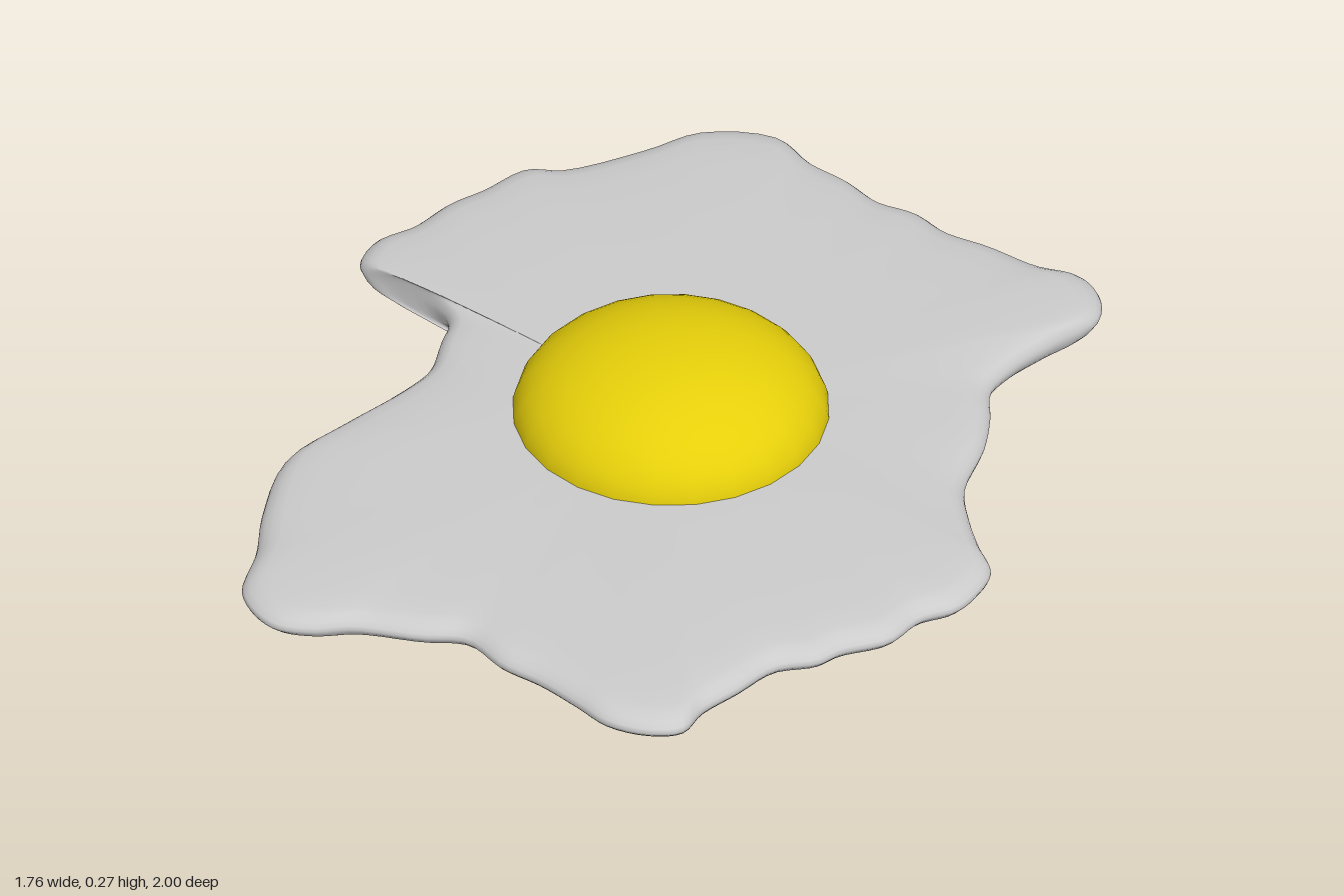
import * as THREE from 'three';

const CENTRE = { x: 0, z: -0.065 };

// Wavy outline of the egg white, as x, z pairs
const OUTLINE = [
  -0.40, -1.0, -0.29, -0.97, -0.19, -0.965, -0.09, -0.945, 0, -0.96, 0.09, -0.945,
  0.20, -0.96, 0.32, -0.965, 0.41, -0.99, 0.48, -0.96, 0.525, -0.89, 0.50, -0.77,
  0.48, -0.66, 0.485, -0.56, 0.54, -0.48, 0.59, -0.39, 0.64, -0.25, 0.71, -0.17,
  0.79, -0.10, 0.855, -0.05, 0.875, 0.03, 0.87, 0.10, 0.83, 0.17, 0.82, 0.27,
  0.76, 0.36, 0.74, 0.42, 0.68, 0.49, 0.66, 0.60, 0.64, 0.70, 0.645, 0.78,
  0.59, 0.83, 0.50, 0.855, 0.41, 0.84, 0.30, 0.825, 0.20, 0.825, 0.09, 0.80,
  0, 0.85, -0.13, 0.91, -0.20, 0.97, -0.27, 1.0, -0.34, 0.985, -0.40, 0.94,
  -0.45, 0.82, -0.52, 0.70, -0.585, 0.53, -0.56, 0.37, -0.525, 0.20, -0.52, 0.10,
  -0.56, 0, -0.59, -0.07, -0.65, -0.10, -0.76, -0.108, -0.855, -0.115, -0.88, -0.20,
  -0.845, -0.29, -0.83, -0.40, -0.80, -0.48, -0.77, -0.59, -0.70, -0.64, -0.60, -0.80,
  -0.54, -0.92,
];

// Half of the cross-section: fraction of the outline, height above the middle
const HALF = [
  [0, 0.046], [0.3, 0.046], [0.55, 0.045], [0.75, 0.042], [0.88, 0.037],
  [0.94, 0.032], [0.965, 0.027], [0.985, 0.018], [0.996, 0.008],
];

// Concentric outline loops running over the top, round the rim and underneath
function eggWhiteGeometry(count = 240) {
  const points = [];
  for (let i = 0; i < OUTLINE.length; i += 2) points.push(new THREE.Vector3(OUTLINE[i], 0, OUTLINE[i + 1]));
  const loop = new THREE.CatmullRomCurve3(points, true).getPoints(count).slice(0, count);
  const section = [...HALF, [1, 0], ...HALF.map(([s, h]) => [s, -h]).reverse()];

  const positions = [];
  const index = [];
  section.forEach(([s, h], ring) => {
    loop.forEach((p, j) => {
      positions.push(CENTRE.x + (p.x - CENTRE.x) * s, 0.05 + h * (h < 0 ? 1.08 : 1), CENTRE.z + (p.z - CENTRE.z) * s);
      if (ring === section.length - 1) return;
      const a = ring * count + j;
      const b = ring * count + ((j + 1) % count);
      index.push(a, b, a + count, b, b + count, a + count);
    });
  });
  const geometry = new THREE.BufferGeometry();
  geometry.setAttribute('position', new THREE.Float32BufferAttribute(positions, 3));
  geometry.setIndex(index);
  geometry.computeVertexNormals();
  // Centre points share one straight normal
  const normals = geometry.attributes.normal;
  for (let j = 0; j < count; j++) {
    normals.setXYZ(j, 0, 1, 0);
    normals.setXYZ((section.length - 1) * count + j, 0, -1, 0);
  }
  return geometry;
}

export function createModel() {
  const model = new THREE.Group();
  model.name = 'friedEgg';

  const white = new THREE.Mesh(eggWhiteGeometry(), new THREE.MeshStandardMaterial({ color: 0xcccccc }));
  white.name = 'eggWhite';
  model.add(white);

  // Flattened dome, its rim sunk into the white
  const dome = new THREE.SphereGeometry(0.34, 24, 16, 0, Math.PI * 2, 0, Math.PI / 2);
  dome.scale(1, 0.19 / 0.34, 1);
  const yolk = new THREE.Mesh(dome, new THREE.MeshStandardMaterial({ color: 0xe6cf0a }));
  yolk.name = 'yolk';
  yolk.position.set(CENTRE.x, 0.08, CENTRE.z);
  model.add(yolk);

  return model;
}
